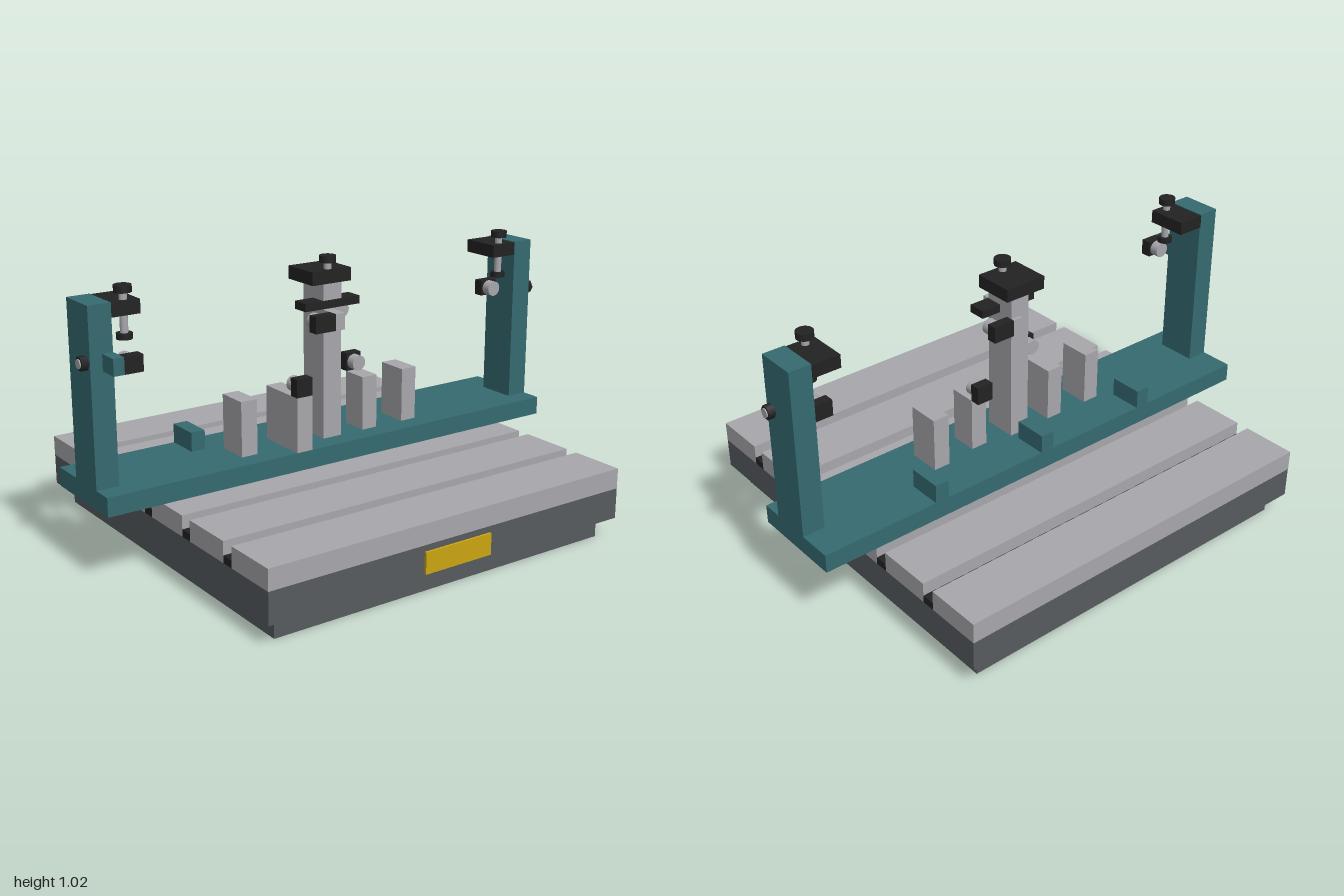
import * as THREE from 'three';

const mat = (name, color) => {
  const m = new THREE.MeshStandardMaterial({ color });
  m.name = name;
  return m;
};

export function createModel() {
  const model = new THREE.Group();
  model.name = 'clampingFixture';
  const steel = mat('lightSteel', 0xa6a6ac);
  const iron = mat('darkIron', 0x575b5e);
  const teal = mat('tealPaint', 0x356a70);
  const black = mat('blackOxide', 0x222223);
  const yellow = mat('yellowPlate', 0xcaa512);

  const add = (name, geometry, material, x, y, z, parent = model) => {
    const m = new THREE.Mesh(geometry, material);
    m.name = name;
    m.position.set(x, y, z);
    parent.add(m);
    return m;
  };
  // box given by its limits along each axis
  const box = (name, material, [x0, x1], [y0, y1], [z0, z1], parent) =>
    add(name, new THREE.BoxGeometry(x1 - x0, y1 - y0, z1 - z0), material,
      (x0 + x1) / 2, (y0 + y1) / 2, (z0 + z1) / 2, parent);
  // upright cylinder between two heights
  const rod = (name, material, r, x, [y0, y1], z, parent) =>
    add(name, new THREE.CylinderGeometry(r, r, y1 - y0, 24), material, x, (y0 + y1) / 2, z, parent);

  // machine table with slotted top
  box('plinth', iron, [-0.71, 0.71], [0, 0.077], [-0.72, 0.71]);
  box('tableBody', iron, [-0.76, 0.76], [0.077, 0.193], [-0.768, 0.757]);
  const pitch = 0.2628, slat = 0.212;
  for (let i = 0; i < 6; i++) {
    const z = -0.006 + (i - 2.5) * pitch;
    box('tableSlat', steel, [-0.76, 0.76], [0.193, 0.27], [z - slat / 2, z + slat / 2]);
    if (i < 5) {
      box('slotFloor', black, [-0.76, 0.76], [0.193, 0.22],
        [z + slat / 2, z + pitch - slat / 2]);
    }
  }
  box('namePlate', yellow, [-0.143, 0.143], [0.09, 0.17], [0.757, 0.766]);

  // fixture plate, rear stops and end posts
  box('fixturePlate', teal, [-0.97, 0.97], [0.27, 0.34], [-0.257, 0.108]);
  for (const x of [-0.484, 0, 0.484]) {
    box('rearStop', teal, [x - 0.028, x + 0.028], [0.34, 0.412], [-0.257, -0.127]);
  }
  for (const s of [-1, 1]) {
    box('endPost', teal, [s * 0.9275 - 0.0425, s * 0.9275 + 0.0425], [0.34, 0.977], [-0.125, 0.03]);
  }

  // support blocks and centre column
  const support = (x, z0, z1) =>
    box('supportBlock', steel, [x - 0.033, x + 0.033], [0.34, 0.547], [z0, z1]);
  support(-0.363, -0.095, 0.03);
  support(0.36, -0.095, 0.03);
  support(-0.176, -0.095, 0.108);
  support(0.173, -0.075, 0.03);
  box('centreColumn', steel, [-0.04, 0.04], [0.34, 0.925], [-0.097, 0.03]);
  box('columnCrossPlate', black, [-0.12, 0.12], [0.835, 0.865], [-0.035, 0.033]);
  box('columnBracket', steel, [-0.04, 0], [0.77, 0.832], [0.03, 0.108]);
  box('columnBracketRear', steel, [0, 0.04], [0.77, 0.832], [-0.11, -0.09]);

  // clamp heads with vertical screws
  const clamp = (x, y0) => {
    const g = new THREE.Group();
    g.name = 'clampHead';
    model.add(g);
    const half = x === 0 ? 0.085 : 0.054;
    const cx = x === 0 ? 0 : Math.sign(x) * 0.831;
    box('clampArm', black, [cx - half, cx + half], [0.925, 0.974], [-0.128, 0.028], g);
    rod('screwShaft', steel, 0.014, x, [y0, 1.0], 0, g);
    rod('screwKnob', black, 0.031, x, [0.999, 1.024], 0, g);
    if (x !== 0) rod('screwFoot', black, 0.028, x, [0.84, 0.861], 0, g);
  };
  clamp(0, 0.9);
  clamp(-0.826, 0.85);
  clamp(0.826, 0.85);

  // probes: black housing with a round steel button; dir is the way the button faces
  const probe = (x0, x1, y0, y1, dir, bx) => {
    const g = new THREE.Group();
    g.name = 'probe';
    model.add(g);
    const z = dir < 0 ? [0.067, 0.108] : [-0.112, -0.073];
    box('probeHousing', black, [x0, x1], [y0, y1], z, g);
    const face = dir < 0 ? z[0] : z[1];
    const b = add('probeButton', new THREE.CylinderGeometry(0.029, 0.029, 0.035, 24), steel,
      bx, (y0 + y1) / 2, face + dir * 0.0175, g);
    b.rotation.x = Math.PI / 2;
  };
  probe(-0.209, -0.143, 0.547, 0.615, -1, -0.176);
  probe(0.14, 0.206, 0.547, 0.615, 1, 0.173);
  probe(-0.127, -0.04, 0.77, 0.832, -1, -0.087);
  probe(0.04, 0.127, 0.77, 0.832, 1, 0.095);
  probe(-0.885, -0.815, 0.75, 0.81, -1, -0.849);
  probe(0.81, 0.885, 0.75, 0.81, 1, 0.845);
  box('postBracket', teal, [-0.925, -0.885], [0.75, 0.81], [0.03, 0.108]);

  // hex bolts on the outer post faces
  for (const s of [-1, 1]) {
    const hex = add('hexBolt', new THREE.CylinderGeometry(0.026, 0.026, 0.026, 6), black, s * 0.983, 0.78, 0);
    hex.rotation.z = Math.PI / 2;
    hex.material.flatShading = false;
    const tip = add('boltTip', new THREE.CylinderGeometry(0.017, 0.017, 0.008, 20), steel, s * 0.996, 0.78, 0);
    tip.rotation.z = Math.PI / 2;
  }

  return model;
}
